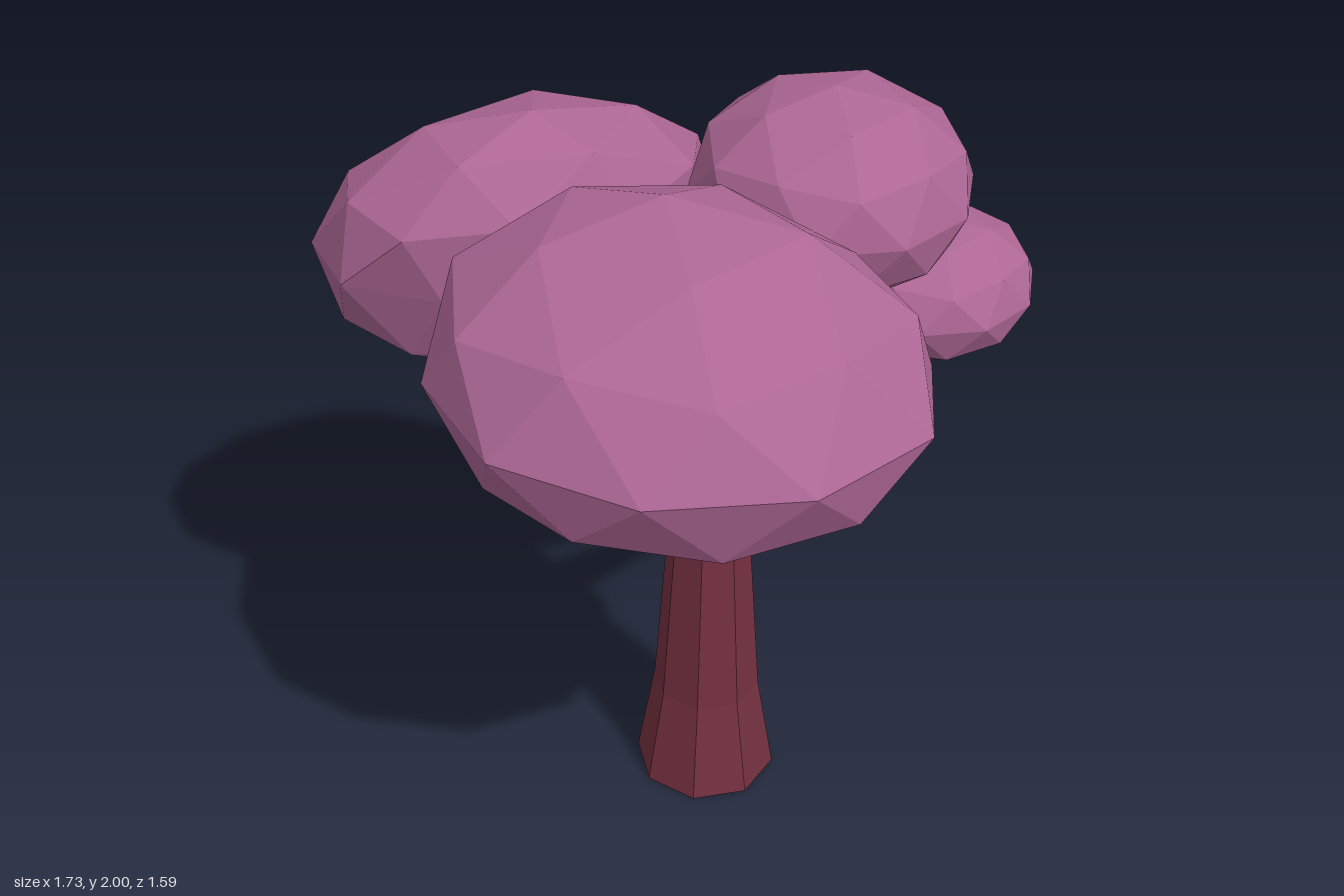
import * as THREE from 'three';

const bark = new THREE.MeshStandardMaterial({ color: 0x74303f, flatShading: true });
const leaves = new THREE.MeshStandardMaterial({ color: 0xad6795, flatShading: true });
const TRUNK_X = 0.112, TRUNK_Z = -0.153;

// Tapering faceted limb through points given as [x, y, z, radius]
function limb(name, stations, sides = 6) {
  const pts = stations.map(s => new THREE.Vector3(s[0], s[1], s[2]));
  const n = pts.length, pos = [], idx = [];
  const whole = pts[n - 1].clone().sub(pts[0]).normalize();
  const ref = Math.abs(whole.y) > 0.8 ? new THREE.Vector3(0, 0, 1) : new THREE.Vector3(0, 1, 0);
  const sideAxis = new THREE.Vector3().crossVectors(ref, whole).normalize();
  pts.forEach((p, i) => {
    const t = new THREE.Vector3();
    if (i > 0) t.add(p.clone().sub(pts[i - 1]).normalize());
    if (i < n - 1) t.add(pts[i + 1].clone().sub(p).normalize());
    t.normalize();
    const v = new THREE.Vector3().crossVectors(t, sideAxis).normalize();
    const u = new THREE.Vector3().crossVectors(v, t);
    for (let k = 0; k < sides; k++) {
      const a = (k / sides) * Math.PI * 2, r = stations[i][3];
      const q = p.clone().addScaledVector(u, r * Math.cos(a)).addScaledVector(v, r * Math.sin(a));
      pos.push(q.x, q.y, q.z);
    }
  });
  for (let i = 0; i < n - 1; i++) {
    for (let k = 0; k < sides; k++) {
      const a = i * sides + k, b = i * sides + (k + 1) % sides;
      idx.push(a, b, b + sides, a, b + sides, a + sides);
    }
  }
  // End caps
  const last = (n - 1) * sides;
  for (let k = 1; k < sides - 1; k++) {
    idx.push(0, k + 1, k, last, last + k, last + k + 1);
  }
  const g = new THREE.BufferGeometry();
  g.setAttribute('position', new THREE.Float32BufferAttribute(pos, 3));
  g.setIndex(idx);
  g.computeVertexNormals();
  const m = new THREE.Mesh(g, bark);
  m.name = name;
  return m;
}

// Faceted leaf clump: a squashed icosphere, turned by yaw, whose top leans by [x, z].
// back is the depth of the rear half and taper narrows it.
function clump(name, [x, y, z], [rx, ry, rz], { lean = [0, 0], yaw = 0, back = rz, taper = 0 } = {}) {
  const g = new THREE.IcosahedronGeometry(1, 1);
  g.rotateX(-Math.atan((1 + Math.sqrt(5)) / 2)); // one corner points straight up
  g.rotateY(Math.PI / 2);
  const p = g.attributes.position, c = Math.cos(yaw), s = Math.sin(yaw);
  for (let i = 0; i < p.count; i++) {
    const rear = Math.max(0, -p.getZ(i)), h = Math.max(0, p.getY(i));
    const px = p.getX(i) * rx * (1 - taper * rear);
    const pz = p.getZ(i) * (rear > 0 ? back : rz);
    p.setXYZ(i, px * c + pz * s + lean[0] * h, p.getY(i) * ry, pz * c - px * s + lean[1] * h);
  }
  g.computeVertexNormals();
  const m = new THREE.Mesh(g, leaves);
  m.name = name;
  m.position.set(x, y, z);
  return m;
}

export function createModel() {
  const tree = new THREE.Group();
  tree.name = 'tree';

  // Eight-sided trunk with a flared foot
  const profile = [[0, 0], [0.193, 0], [0.145, 0.29], [0.088, 1.1], [0.075, 1.31], [0, 1.33]]
    .map(([r, y]) => new THREE.Vector2(r, y));
  const trunk = new THREE.Mesh(new THREE.LatheGeometry(profile, 8), bark);
  trunk.name = 'trunk';
  trunk.position.set(TRUNK_X, 0, TRUNK_Z);
  tree.add(trunk);

  // Branches
  const branches = new THREE.Group();
  branches.name = 'branches';
  branches.add(
    limb('upperTrunk', [[TRUNK_X, 1.22, TRUNK_Z, 0.075], [0.12, 1.37, -0.16, 0.065], [0.24, 1.6, -0.28, 0.05]]),
    limb('frontBranch', [[TRUNK_X, 1.14, TRUNK_Z, 0.07], [0.12, 1.19, 0.36, 0.033], [0.12, 1.3, 0.43, 0.03]]),
    limb('rightBranch', [[TRUNK_X, 1.14, TRUNK_Z, 0.075], [-0.45, 1.18, -0.22, 0.035], [-0.54, 1.33, -0.24, 0.03]]),
    limb('backLeftBranch', [[TRUNK_X, 1.05, TRUNK_Z, 0.085], [0.53, 1.16, -0.48, 0.035], [0.6, 1.28, -0.51, 0.03]]),
    limb('frontLeftTwig', [[TRUNK_X, 1.17, TRUNK_Z, 0.06], [0.27, 1.23, 0.05, 0.035]]),
    limb('backRightTwig', [[TRUNK_X, 1.28, TRUNK_Z, 0.05], [-0.07, 1.32, -0.26, 0.03]]),
    limb('upperTwig', [[TRUNK_X, 1.36, TRUNK_Z, 0.04], [-0.01, 1.38, -0.23, 0.025]])
  );
  tree.add(branches);

  // Foliage
  const foliage = new THREE.Group();
  foliage.name = 'foliage';
  foliage.add(
    clump('frontClump', [0.115, 1.575, 0.26], [0.592, 0.365, 0.53],
      { lean: [-0.07, -0.12], back: 0.37, taper: 0.15 }),
    clump('rightClump', [-0.4, 1.6, -0.285], [0.52, 0.365, 0.36],
      { lean: [0.08, 0.13], yaw: Math.PI / 5 }),
    clump('topClump', [0.36, 1.745, -0.34], [0.35, 0.255, 0.355]),
    clump('backLeftClump', [0.605, 1.41, -0.515], [0.275, 0.18, 0.285])
  );
  tree.add(foliage);
  return tree;
}
